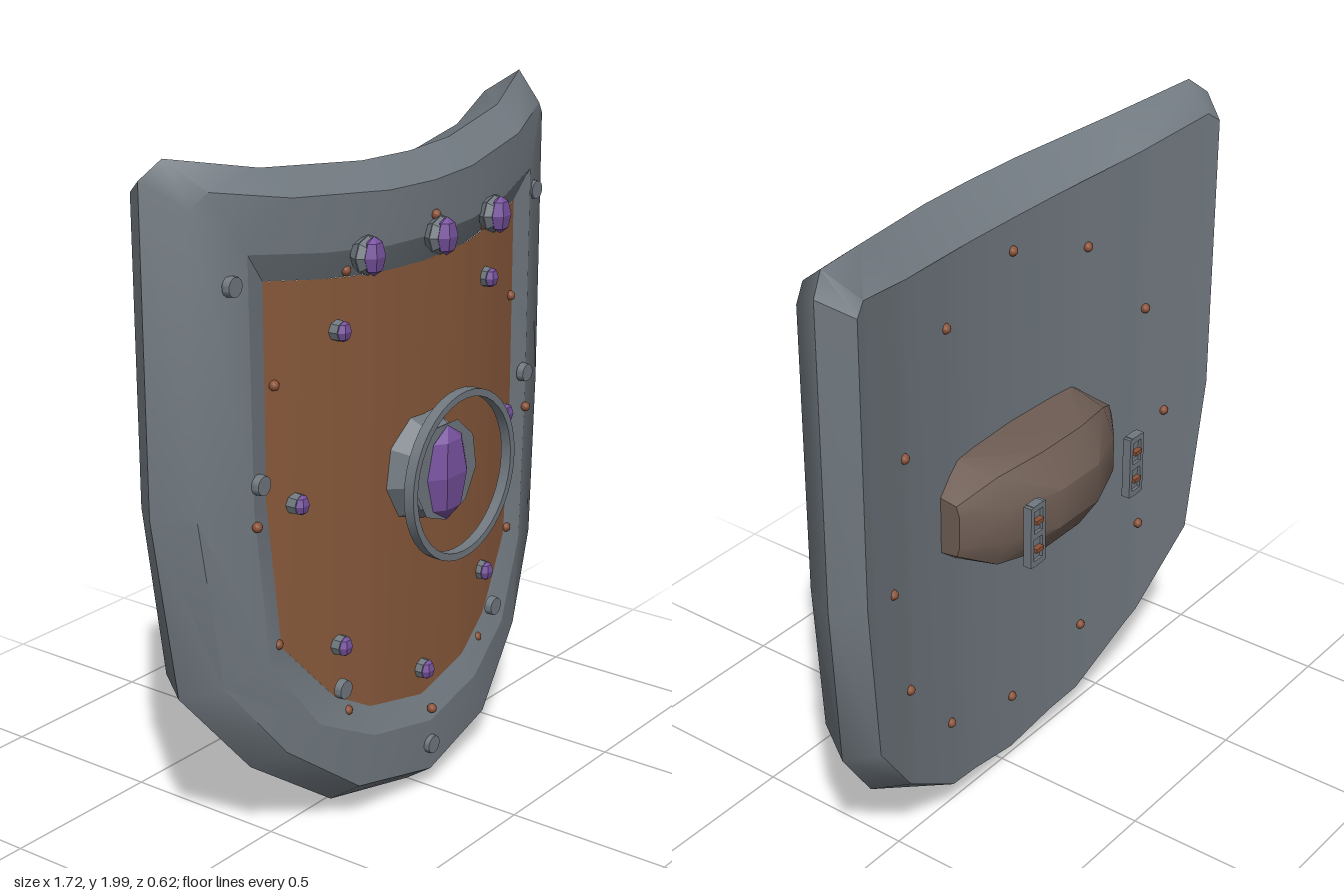
import * as THREE from 'three';
import { toCreasedNormals } from 'three/addons/utils/BufferGeometryUtils.js';
import { ConvexGeometry } from 'three/addons/geometries/ConvexGeometry.js';

const mat = (name, color) => {
  const m = new THREE.MeshStandardMaterial({ color });
  m.name = name;
  return m;
};

// Half outlines, from top centre round the +x side to bottom centre.
const RIDGE = [[0, 1.91], [0.2, 1.915], [0.54, 1.945], [0.8, 2], [0.86, 1.95], [0.86, 1.05], [0.8, 0.52], [0.6, 0.26], [0.33, 0.07], [0, 0.01]];
const BACK = [[0, 1.84], [0.19, 1.845], [0.52, 1.875], [0.76, 1.93], [0.8, 1.9], [0.8, 1.05], [0.745, 0.55], [0.56, 0.31], [0.31, 0.13], [0, 0.075]];
const FRONT = [[0, 1.84], [0.19, 1.845], [0.52, 1.875], [0.75, 1.92], [0.8, 1.88], [0.8, 1.05], [0.74, 0.56], [0.56, 0.32], [0.31, 0.13], [0, 0.068]];
const INNER = [[0, 1.69], [0.2, 1.695], [0.42, 1.715], [0.65, 1.745], [0.65, 1.7], [0.645, 1.05], [0.605, 0.59], [0.45, 0.37], [0.25, 0.27], [0, 0.225]];
const PANEL = [[0, 1.61], [0.2, 1.615], [0.4, 1.635], [0.58, 1.66], [0.58, 1.6], [0.58, 1.05], [0.54, 0.62], [0.365, 0.42], [0.23, 0.345], [0, 0.3]];

// Depth of each curved layer
const backZ = (x) => -0.035 - 0.22 * x * x;
const ridgeZ = (x) => 0.115 - 0.28 * x * x;
const frontZ = (x) => 0.2 - 0.28 * x * x;
const panelZ = (x) => 0.165 - 0.28 * x * x;

function ring(half, zAt) {
  const left = half.slice(1, -1).reverse().map(([x, y]) => [-x, y]);
  return [...half, ...left].map(([x, y]) => [x, y, zAt(x)]);
}

// Bands of quads joining successive closed rings
function loft(rings, crease) {
  const n = rings[0].length;
  const index = [];
  for (let r = 0; r < rings.length - 1; r++) {
    for (let i = 0; i < n; i++) {
      const j = (i + 1) % n;
      const a = r * n + i, a2 = r * n + j, b = a + n, b2 = a2 + n;
      index.push(a, b, a2, a2, b, b2);
    }
  }
  const g = new THREE.BufferGeometry();
  g.setAttribute('position', new THREE.Float32BufferAttribute(rings.flat(2), 3));
  g.setIndex(index);
  return toCreasedNormals(g, crease);
}

function heightAt(line, x) {
  const k = line.findIndex((p) => p[0] >= x - 1e-6);
  if (k <= 0) return line[k < 0 ? line.length - 1 : 0][1];
  const [x0, y0] = line[k - 1], [x1, y1] = line[k];
  return y0 + (y1 - y0) * (x - x0) / (x1 - x0);
}

// Curved sheet filling an outline with vertical strips
function sheet(half, zAt, facesBack) {
  const top = half.slice(0, 5), bottom = half.slice(5).reverse();
  const xs = [...new Set(half.flatMap(([x]) => [x, x === 0 ? 0 : -x]))].sort((a, b) => a - b);
  const pos = [], index = [];
  xs.forEach((x, i) => {
    const ax = Math.abs(x);
    pos.push(x, heightAt(top, ax), zAt(x), x, heightAt(bottom, ax), zAt(x));
    if (i === 0) return;
    const t = 2 * i - 2, b = t + 1, t2 = t + 2, b2 = t + 3;
    if (facesBack) index.push(t, t2, b, t2, b2, b);
    else index.push(t, b, t2, t2, b, b2);
  });
  const g = new THREE.BufferGeometry();
  g.setAttribute('position', new THREE.Float32BufferAttribute(pos, 3));
  g.setIndex(index);
  g.computeVertexNormals();
  return g;
}

export function createModel() {
  const steel = mat('steel', 0x70787f);
  const leather = mat('leather', 0x8a5a3c);
  const purple = mat('purple gem', 0x75509c);
  const copper = mat('copper', 0x8b5238);
  const padding = mat('padding', 0x6e5d54);

  const model = new THREE.Group();
  model.name = 'shield';
  const add = (name, geometry, material, x = 0, y = 0, z = 0) => {
    const m = new THREE.Mesh(geometry, material);
    m.name = name;
    m.position.set(x, y, z);
    model.add(m);
    return m;
  };
  // Faceted disc or frustum facing the front
  const disc = (rBack, rFront, depth, sides) => toCreasedNormals(
    new THREE.CylinderGeometry(rFront, rBack, depth, sides).rotateX(Math.PI / 2), 0.5);
  // Pointed six-sided gem
  const gem = (w, h, d) => toCreasedNormals(new THREE.SphereGeometry(1, 6, 4).scale(w, h, d), 0.1);

  // Body
  add('rim', loft([ring(BACK, backZ), ring(RIDGE, ridgeZ), ring(FRONT, frontZ), ring(INNER, frontZ)], 0.7), steel);
  add('rimInnerSlope', loft([ring(INNER, frontZ), ring(PANEL, panelZ)], 0.5), steel);
  add('leatherPanel', sheet(PANEL, panelZ, false), leather);
  add('backPlate', sheet(BACK, backZ, true), steel);

  // Centre boss with its large gem
  add('bossBase', disc(0.165, 0.13, 0.06, 9), steel, 0, 1.015, 0.188);
  add('bossNeck', disc(0.1, 0.1, 0.03, 9), steel, 0, 1.015, 0.225);
  add('bossPlate', disc(0.115, 0.148, 0.02, 9), steel, 0, 1.015, 0.238);
  add('bossGem', gem(0.095, 0.14, 0.04), purple, 0, 1.01, 0.25);

  // Ring standing in front of the boss
  const hoop = new THREE.Shape().absarc(0, 0, 0.247, 0, Math.PI * 2);
  hoop.holes.push(new THREE.Path().absarc(0, 0, 0.226, 0, Math.PI * 2, true));
  add('bossRing', toCreasedNormals(new THREE.ExtrudeGeometry(hoop, { depth: 0.032, bevelEnabled: false, curveSegments: 20 }), 0.6),
    steel, 0, 1.015, 0.28);

  // Gems along the top of the rim
  for (const x of [-0.295, 0, 0.295]) {
    const z = frontZ(x);
    add('topGemBase', disc(0.04, 0.057, 0.03, 8), steel, x, 1.69, z + 0.005);
    add('topGemCollar', disc(0.055, 0.04, 0.02, 8), steel, x, 1.69, z + 0.028);
    add('topGem', gem(0.04, 0.054, 0.028), purple, x, 1.69, z + 0.04);
  }

  // Small gem studs in an oval on the leather
  for (let i = 1; i < 8; i++) {
    const a = i * Math.PI / 4;
    const x = 0.49 * Math.sin(a), y = 1.03 + 0.645 * Math.cos(a), z = panelZ(x);
    add('studBase', disc(0.031, 0.029, 0.03, 8), steel, x, y, z + 0.006);
    add('studGem', gem(0.027, 0.029, 0.018), purple, x, y, z + 0.023);
  }

  // Flat steel rivets on the rim
  for (const [x, y] of [[0.695, 1.67], [0.625, 1.12], [0.37, 0.455], [0, 0.15]]) {
    for (const s of x ? [1, -1] : [1]) {
      add('rimRivet', disc(0.029, 0.027, 0.022, 14), steel, s * x, y, frontZ(x) + 0.003);
    }
  }

  // Copper rivets in an oval, showing on both sides
  const bead = new THREE.SphereGeometry(0.015, 10, 6);
  for (let i = 0; i < 12; i++) {
    const a = i * Math.PI / 6;
    const x = 0.64 * Math.sin(a), y = 1.005 + 0.74 * Math.cos(a);
    const onRim = Math.abs(x) > 0.6 || i === 0 || i === 6;
    add('frontRivet', bead, copper, x, y, (onRim ? frontZ(x) : panelZ(x)) + 0.004);
    add('backRivet', bead, copper, x, y, backZ(x) - 0.002);
  }

  // Chamfered arm pad on the back: x, half height, depth
  const padPoints = [];
  for (const [x, h, z] of [[0.09, 0.16, -0.03], [0.27, 0.16, -0.04], [0.36, 0.09, -0.05], [0.09, 0.16, -0.21],
    [0.25, 0.14, -0.175], [0.36, 0.08, -0.12], [0.09, 0.06, -0.275], [0.25, 0.055, -0.215], [0.36, 0.05, -0.13]]) {
    for (const sx of [1, -1]) for (const sy of [1, -1]) padPoints.push(new THREE.Vector3(sx * x, 1.06 + sy * h, z));
  }
  add('armPad', toCreasedNormals(new ConvexGeometry(padPoints), 0.55), padding);

  // Buckles behind the pad
  for (const x of [-0.235, 0.235]) {
    for (const s of [1, -1]) add('buckleSide', new THREE.BoxGeometry(0.014, 0.19, 0.026), steel, x + s * 0.026, 1.06, -0.292);
    for (const y of [-0.088, 0, 0.088]) add('buckleBar', new THREE.BoxGeometry(0.045, 0.018, 0.026), steel, x, 1.06 + y, -0.292);
    add('buckleBacking', new THREE.BoxGeometry(0.045, 0.18, 0.012), steel, x, 1.06, -0.29);
    for (const y of [-0.045, 0.045]) add('bucklePin', new THREE.BoxGeometry(0.032, 0.012, 0.016), copper, x, 1.06 + y, -0.304);
  }
  return model;
}
